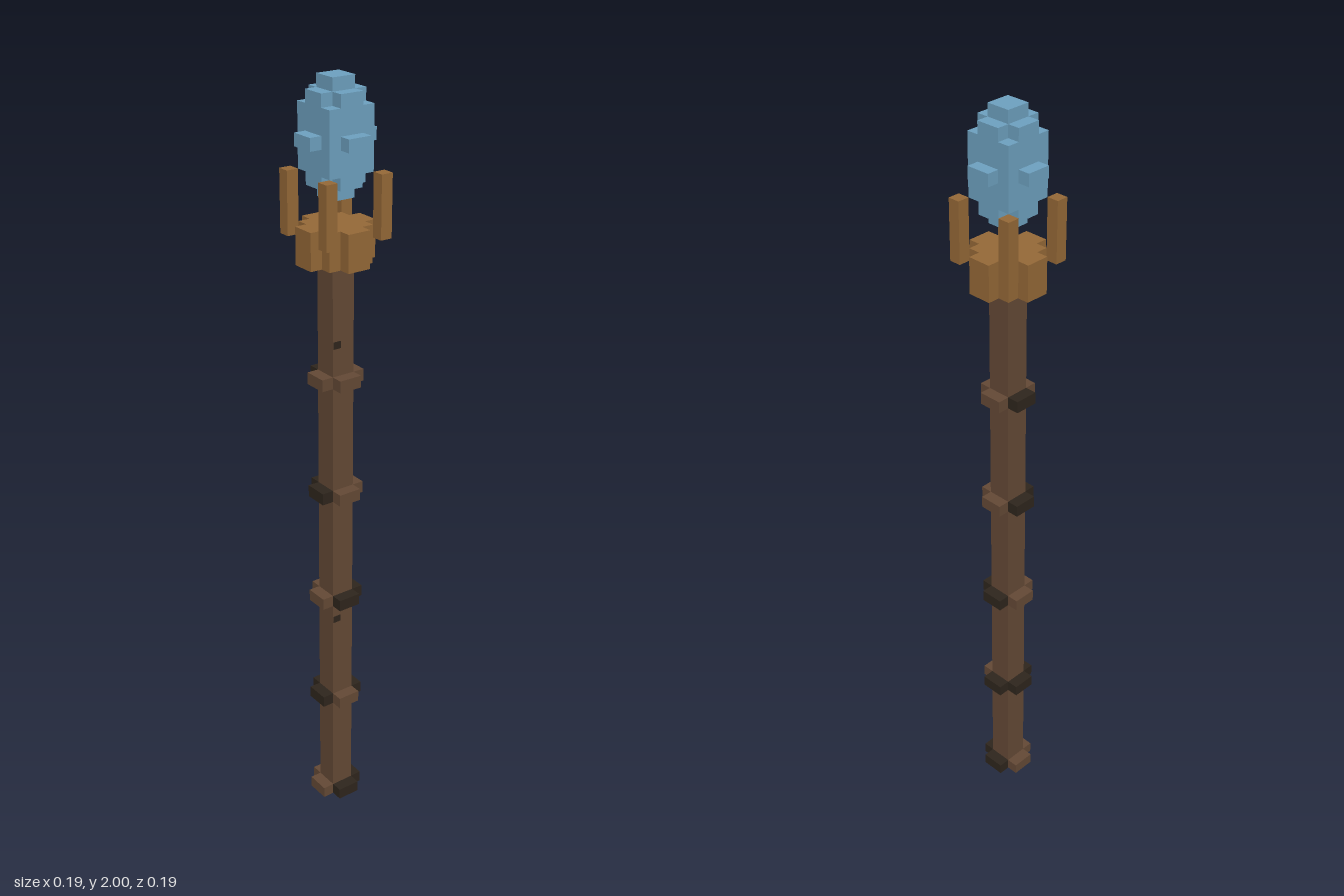
import * as THREE from 'three';

const U = 1 / 32; // one block unit

const mat = (name, hex) => {
  const m = new THREE.MeshStandardMaterial({ color: hex });
  m.name = name;
  return m;
};

export function createModel() {
  const wood = mat('wood brown', 0x654a36);
  const dark = mat('dark bark', 0x2f261d);
  const gold = mat('golden wood', 0x976a38);
  const blue = mat('crystal blue', 0x6fa3c2);

  const staff = new THREE.Group();
  staff.name = 'staff';

  // Box given by size and centre x/z, from y0 to y1, in block units
  const box = (parent, name, material, w, d, y0, y1, x = 0, z = 0) => {
    const mesh = new THREE.Mesh(new THREE.BoxGeometry(w * U, (y1 - y0) * U, d * U), material);
    mesh.position.set(x * U, ((y0 + y1) / 2) * U, z * U);
    mesh.name = name;
    parent.add(mesh);
    return mesh;
  };
  const group = (name) => {
    const g = new THREE.Group();
    g.name = name;
    staff.add(g);
    return g;
  };
  const sides = { left: [1, 0], right: [-1, 0], front: [0, 1], back: [0, -1] };
  // Four two-wide studs around a square core
  const studs = (parent, name, y0, y1, reach, pick) => {
    for (const [side, [sx, sz]] of Object.entries(sides)) {
      box(parent, side + name, pick(side), sx ? 1 : 2, sz ? 1 : 2, y0, y1, sx * reach, sz * reach);
    }
  };

  // Shaft with two small knots
  box(staff, 'shaft', wood, 2, 2, 0, 50);
  for (const y of [18.3, 43.3]) box(staff, 'knot', dark, 0.7, 0.04, y, y + 0.6, -0.6, 1.01);

  // Rings along the shaft, some studs weathered dark
  const darkStuds = [
    ['left', 'front'],
    ['left', 'right', 'back'],
    ['left', 'front'],
    ['right', 'back'],
    ['back'],
  ];
  darkStuds.forEach((list, i) => {
    const ring = group('ring' + (i + 1));
    studs(ring, 'RingStud', i * 10, i * 10 + 1, 1.5, (s) => (list.includes(s) ? dark : wood));
  });

  // Cup and its four corner prongs
  const holder = group('holder');
  box(holder, 'cup', gold, 4, 4, 50, 53);
  studs(holder, 'CupStud', 50, 53, 2.5, () => gold);
  for (const x of [-2.5, 2.5]) {
    for (const z of [-2.5, 2.5]) box(holder, 'prong', gold, 1, 1, 52, 57, x, z);
  }

  // Floating crystal
  const crystal = group('crystal');
  box(crystal, 'crystalBody', blue, 4, 4, 57, 62);
  studs(crystal, 'CrystalStud', 59, 60, 2.5, () => blue);
  for (const [y, tip] of [[56, 55], [62, 63]]) {
    box(crystal, 'crystalStep', blue, 2, 2, y, y + 1);
    studs(crystal, 'CrystalStep', y, y + 1, 1.5, () => blue);
    box(crystal, 'crystalTip', blue, 2, 2, tip, tip + 1);
  }
  return staff;
}
